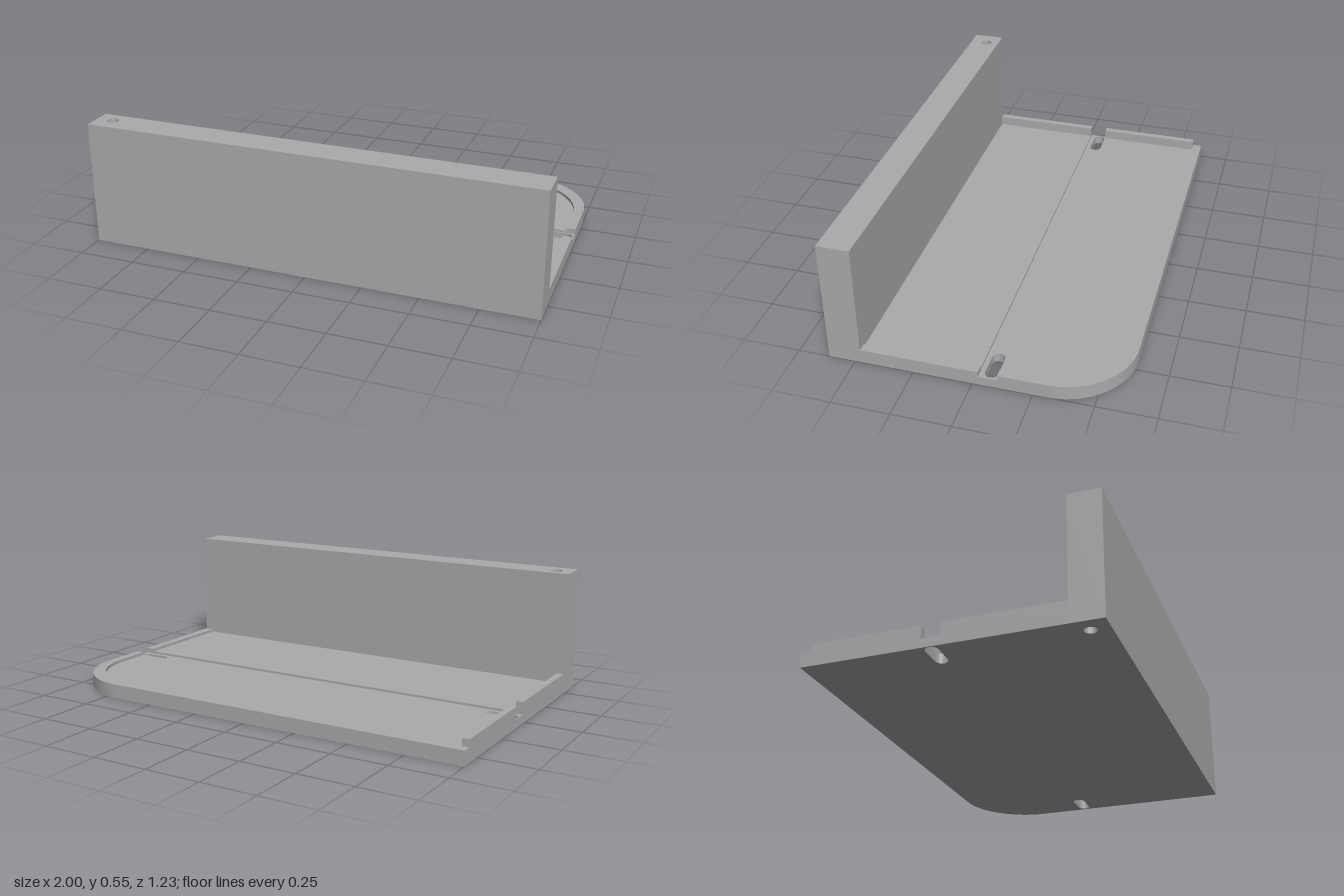
import * as THREE from 'three';
import { toCreasedNormals } from 'three/addons/utils/BufferGeometryUtils.js';

// Plan limits, with depth measured as -z so that shapes lie flat when rotated
const BACK = 0.615, WALL = -0.475, FRONT = -0.615;
const GROOVE_BACK = 0.105, GROOVE_FRONT = 0.025;
const GROOVE_Y = 0.04, FLOOR_Y = 0.05, RIM_Y = 0.063, STRIP_Y = 0.095, WALL_Y = 0.553;
const R = 0.31;

export function createModel() {
  const group = new THREE.Group();
  const grey = new THREE.MeshStandardMaterial({ color: 0xaaaaaa });
  grey.name = 'grey';

  // Extrude a plan shape upward from y0 to y1
  function slab(name, shape, y0, y1) {
    const geo = new THREE.ExtrudeGeometry(shape, { depth: y1 - y0, bevelEnabled: false, curveSegments: 24 });
    geo.rotateX(-Math.PI / 2);
    geo.translate(0, y0, 0);
    const mesh = new THREE.Mesh(toCreasedNormals(geo, 0.5), grey);
    mesh.name = name;
    group.add(mesh);
  }

  function rect(x0, x1, d0, d1) {
    const s = new THREE.Shape();
    s.moveTo(x0, d0);
    s.lineTo(x1, d0);
    s.lineTo(x1, d1);
    s.lineTo(x0, d1);
    s.closePath();
    return s;
  }

  // Plate outline with one rounded back corner
  function plate(d0) {
    const s = new THREE.Shape();
    s.moveTo(-1, d0);
    s.lineTo(1, d0);
    s.lineTo(1, BACK - R);
    s.absarc(1 - R, BACK - R, R, 0, Math.PI / 2, false);
    s.lineTo(-1, BACK);
    s.closePath();
    return s;
  }

  function slot(x0, x1, d, r) {
    const p = new THREE.Path();
    p.absarc(x1 - r, d, r, -Math.PI / 2, Math.PI / 2, false);
    p.absarc(x0 + r, d, r, Math.PI / 2, Math.PI * 1.5, false);
    p.closePath();
    return p;
  }

  // Base plate with a slot at each end of the groove
  const base = plate(WALL);
  base.holes.push(slot(-0.995, -0.85, 0.072, 0.027), slot(0.845, 0.992, 0.072, 0.027));
  slab('basePlate', base, 0, GROOVE_Y);

  // Floor panels on either side of the cross groove
  slab('frontFloor', rect(-1, 1, WALL, GROOVE_FRONT), GROOVE_Y, FLOOR_Y);
  slab('backFloor', plate(GROOVE_BACK), GROOVE_Y, FLOOR_Y);

  // Low rim along the left side, rounded corner and back
  slab('frontRim', rect(0.96, 1, WALL, GROOVE_FRONT), FLOOR_Y, RIM_Y);
  const rim = new THREE.Shape();
  rim.moveTo(0.96, GROOVE_BACK);
  rim.lineTo(1, GROOVE_BACK);
  rim.lineTo(1, BACK - R);
  rim.absarc(1 - R, BACK - R, R, 0, Math.PI / 2, false);
  rim.lineTo(-1, BACK);
  rim.lineTo(-1, 0.573);
  rim.lineTo(0.96 - R, 0.573);
  rim.absarc(0.96 - R, 0.573 - R, R, Math.PI / 2, 0, true);
  rim.closePath();
  slab('backRim', rim, FLOOR_Y, RIM_Y);

  // Taller strips along the right side, interrupted by the groove
  slab('frontStrip', rect(-1, -0.97, WALL, GROOVE_FRONT), FLOOR_Y, STRIP_Y);
  slab('backStrip', rect(-1, -0.97, GROOVE_BACK, 0.573), FLOOR_Y, STRIP_Y);

  // Upright front wall with a vertical bore
  const wall = rect(-1, 1, FRONT, WALL);
  const bore = new THREE.Path();
  bore.absarc(-0.923, -0.537, 0.026, 0, Math.PI * 2, false);
  wall.holes.push(bore);
  slab('frontWall', wall, 0, WALL_Y);

  return group;
}
